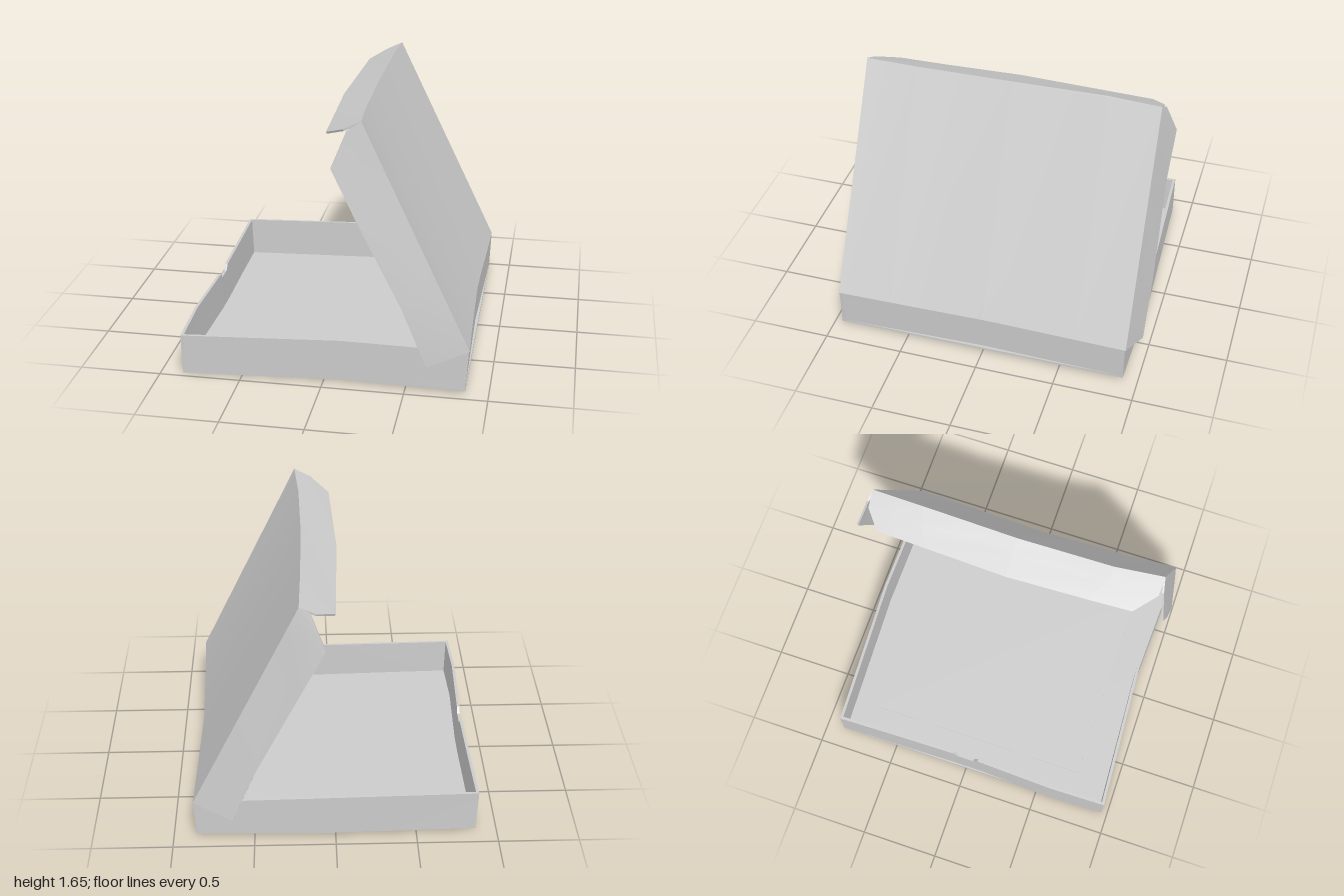
import * as THREE from 'three';
import { toCreasedNormals } from 'three/addons/utils/BufferGeometryUtils.js';

const material = new THREE.MeshStandardMaterial({ color: 0xcccccc });

// Card sheet: rows of [x, y, z] points form the outer face, thickness goes inwards
function sheet(name, rows, thickness) {
  const nu = rows[0].length, nv = rows.length, count = nu * nv;
  const P = rows.flat().map((p) => new THREE.Vector3(...p));
  const N = P.map(() => new THREE.Vector3());
  const index = [];
  const id = (i, j) => j * nu + i;
  const e1 = new THREE.Vector3(), e2 = new THREE.Vector3();
  const face = (a, b, c) => {
    e1.subVectors(P[b], P[a]);
    e2.subVectors(P[c], P[a]);
    e1.cross(e2);
    for (const k of [a, b, c]) N[k].add(e1);
    index.push(a, b, c, c + count, b + count, a + count);
  };
  for (let j = 0; j < nv - 1; j++) {
    for (let i = 0; i < nu - 1; i++) {
      face(id(i, j), id(i + 1, j), id(i + 1, j + 1));
      face(id(i, j), id(i + 1, j + 1), id(i, j + 1));
    }
  }
  // Cut edge around the sheet
  const rim = [];
  for (let i = 0; i < nu - 1; i++) rim.push(id(i, 0));
  for (let j = 0; j < nv - 1; j++) rim.push(id(nu - 1, j));
  for (let i = nu - 1; i > 0; i--) rim.push(id(i, nv - 1));
  for (let j = nv - 1; j > 0; j--) rim.push(id(0, j));
  rim.forEach((p, k) => {
    const q = rim[(k + 1) % rim.length];
    index.push(p, p + count, q + count, p, q + count, q);
  });
  const back = P.map((p, k) => p.clone().addScaledVector(N[k].normalize(), -thickness));
  const geometry = new THREE.BufferGeometry().setFromPoints([...P, ...back]);
  geometry.setIndex(index);
  const mesh = new THREE.Mesh(toCreasedNormals(geometry, 0.5), material);
  mesh.name = name;
  return mesh;
}

const mix = (a, b, t) => a.map((v, k) => v + (b[k] - v) * t);
const floorY = (x, z) => 0.017 + 0.012 * x - 0.006 * z;
const onFloor = (x, z, lift = 0) => [x, floorY(x, z) + lift, z];

function createTray() {
  const tray = new THREE.Group();
  tray.name = 'tray';
  const wall = 0.018;

  // Floor and the sheet lying on it
  const rightEdge = [onFloor(-0.87, -0.88), onFloor(0.1, -0.92), onFloor(0.86, -0.91)];
  const leftEdge = [onFloor(-0.865, 0.96), onFloor(0.1, 0.91), onFloor(0.86, 0.945)];
  tray.add(sheet('floor', [rightEdge, leftEdge], 0.014));
  tray.add(sheet('floorSheet', [-0.73, 0.73].map((z) => [onFloor(-0.66, z, 0.01), onFloor(0.66, z, 0.01)]), 0.008));

  // Side walls, slightly bowed
  const rightTop = [[-0.88, 0.28, -0.88], [0.1, 0.297, -0.925], [0.87, 0.277, -0.915]];
  const leftTop = [[-0.87, 0.255, 0.965], [0.1, 0.275, 0.91], [0.875, 0.283, 0.94]];
  tray.add(sheet('rightWall', [rightTop, rightEdge], wall));
  tray.add(sheet('leftWall', [leftEdge, leftTop], wall));

  // Opening wall with a thumb notch in its top edge
  const notchTop = [
    rightTop[0], [-0.87, 0.277, -0.5], [-0.862, 0.272, -0.085], [-0.862, 0.237, -0.055],
    [-0.862, 0.237, 0.055], [-0.862, 0.272, 0.085], [-0.88, 0.27, 0.6], leftTop[0],
  ];
  const notchBase = notchTop.map((p, k) =>
    k === 0 ? rightEdge[0] : k === 7 ? leftEdge[0] : onFloor(p[0] + 0.004, p[2]));
  tray.add(sheet('openingWall', [notchBase, notchTop], wall));

  // Hinge wall
  tray.add(sheet('hingeWall', [
    [rightTop[2], [0.845, 0.268, 0], leftTop[2]],
    [rightEdge[2], onFloor(0.84, 0), leftEdge[2]],
  ], wall));

  // Corner tabs folded against the hinge wall
  for (const s of [-1, 1]) {
    const z = s < 0 ? [-0.9, -0.7] : [0.7, 0.92];
    tray.add(sheet('cornerTab', [0.035, 0.265].map((y) => z.map((v) =>
      [Math.abs(v) > 0.8 ? 0.835 : 0.805, y, v])), 0.014));
  }
  return tray;
}

function createLid() {
  const lid = new THREE.Group();
  lid.name = 'lid';
  const card = 0.012;

  // Main panel
  const top = [[0.21, 1.635, -0.925], [0.2, 1.645, -0.6], [0.19, 1.63, 0], [0.2, 1.632, 0.6], [0.225, 1.655, 0.905]];
  const hinge = [[0.87, 0.277, -0.92], [0.86, 0.28, -0.6], [0.847, 0.268, 0], [0.865, 0.275, 0.6], [0.88, 0.285, 0.94]];
  lid.add(sheet('lidPanel', [top, hinge], card));

  // Flared side flaps
  const outline = [[0.145, 1.6], [0.06, 1.385], [0.2, 1.1], [0.48, 0.55], [0.63, 0.18]];
  const flare = { leftFlap: [0.925, 0.97, 0.985, 0.995, 0.985], rightFlap: [-0.94, -0.998, -0.982, -0.99, -0.98] };
  for (const [name, zs] of Object.entries(flare)) {
    const corner = name === 'leftFlap' ? 4 : 0;
    const inner = [0, 0.12, 0.35, 0.77, 1].map((t) => mix(top[corner], hinge[corner], t));
    const outer = outline.map(([x, y], k) => [x, y, zs[k]]);
    lid.add(sheet(name, corner ? [outer, inner] : [inner, outer], card));
  }

  // Tuck flap with clipped corners
  const tip = [[0, 1.535, -0.83], [-0.012, 1.535, -0.5], [-0.03, 1.535, 0], [-0.012, 1.535, 0.5], [0, 1.54, 0.78]];
  const fold = [[0.11, 1.588, -0.92], [0.1, 1.592, -0.58], [0.09, 1.585, 0], [0.1, 1.588, 0.58], [0.12, 1.602, 0.9]];
  lid.add(sheet('tuckFlap', [tip, fold, top], card));
  return lid;
}

export function createModel() {
  const box = new THREE.Group();
  box.name = 'openCardboardBox';
  box.add(createTray(), createLid());
  return box;
}
